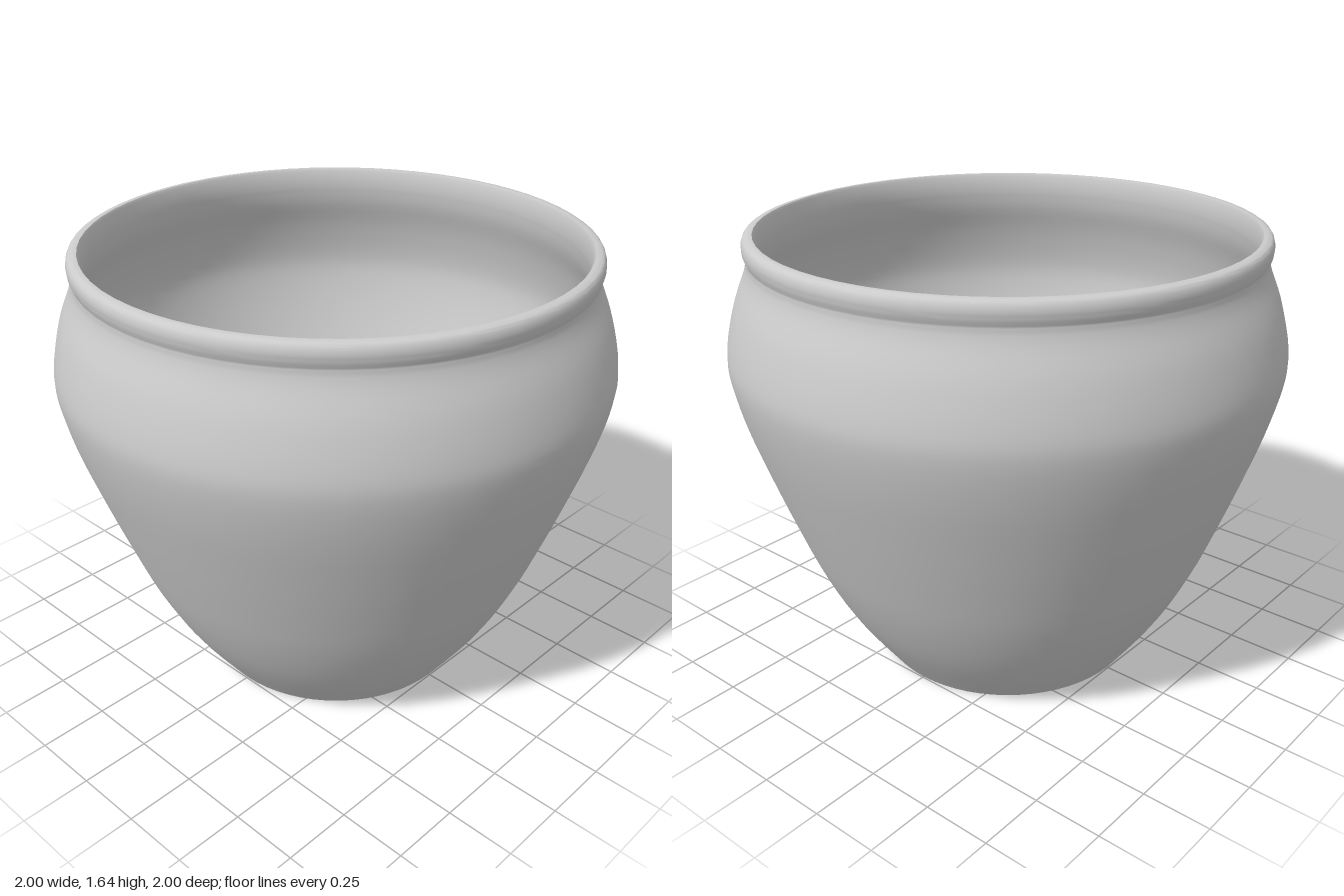
import * as THREE from 'three';
import { toCreasedNormals } from 'three/addons/utils/BufferGeometryUtils.js';

const SEGMENTS = 64;

// Smooth curve through [radius, height] points
function smooth(points, count) {
  return new THREE.SplineCurve(points.map(([r, y]) => new THREE.Vector2(r, y))).getPoints(count);
}

export function createModel() {
  const group = new THREE.Group();
  group.name = 'pot';
  const material = new THREE.MeshStandardMaterial({ color: 0xcccccc, side: THREE.DoubleSide });

  // Outside of the belly, from foot to neck
  const outer = smooth([
    [0.495, 0], [0.635, 0.2], [0.74, 0.4], [0.82, 0.6], [0.893, 0.8],
    [0.96, 1.0], [0.998, 1.16], [0.998, 1.26], [0.965, 1.4], [0.922, 1.51], [0.91, 1.56],
  ], 36);

  // Rolled lip, over the top to the inner edge
  const lip = smooth([
    [0.91, 1.56], [0.92, 1.59], [0.921, 1.617], [0.912, 1.638], [0.895, 1.645],
  ], 12).slice(1);
  lip.push(new THREE.Vector2(0.882, 1.645), new THREE.Vector2(0.876, 1.635));

  // Inside wall, back down to the open foot
  const inner = smooth([
    [0.874, 1.57], [0.887, 1.5], [0.928, 1.39], [0.959, 1.26], [0.959, 1.16],
    [0.922, 1.0], [0.856, 0.8], [0.783, 0.6], [0.703, 0.4], [0.6, 0.2], [0.46, 0],
  ], 36);

  // Flat foot ring closes the wall
  const profile = [...outer, ...lip, ...inner, new THREE.Vector2(0.495, 0)];
  const geometry = toCreasedNormals(new THREE.LatheGeometry(profile, SEGMENTS), 0.6);
  const body = new THREE.Mesh(geometry, material);
  body.name = 'potBody';
  group.add(body);

  return group;
}
